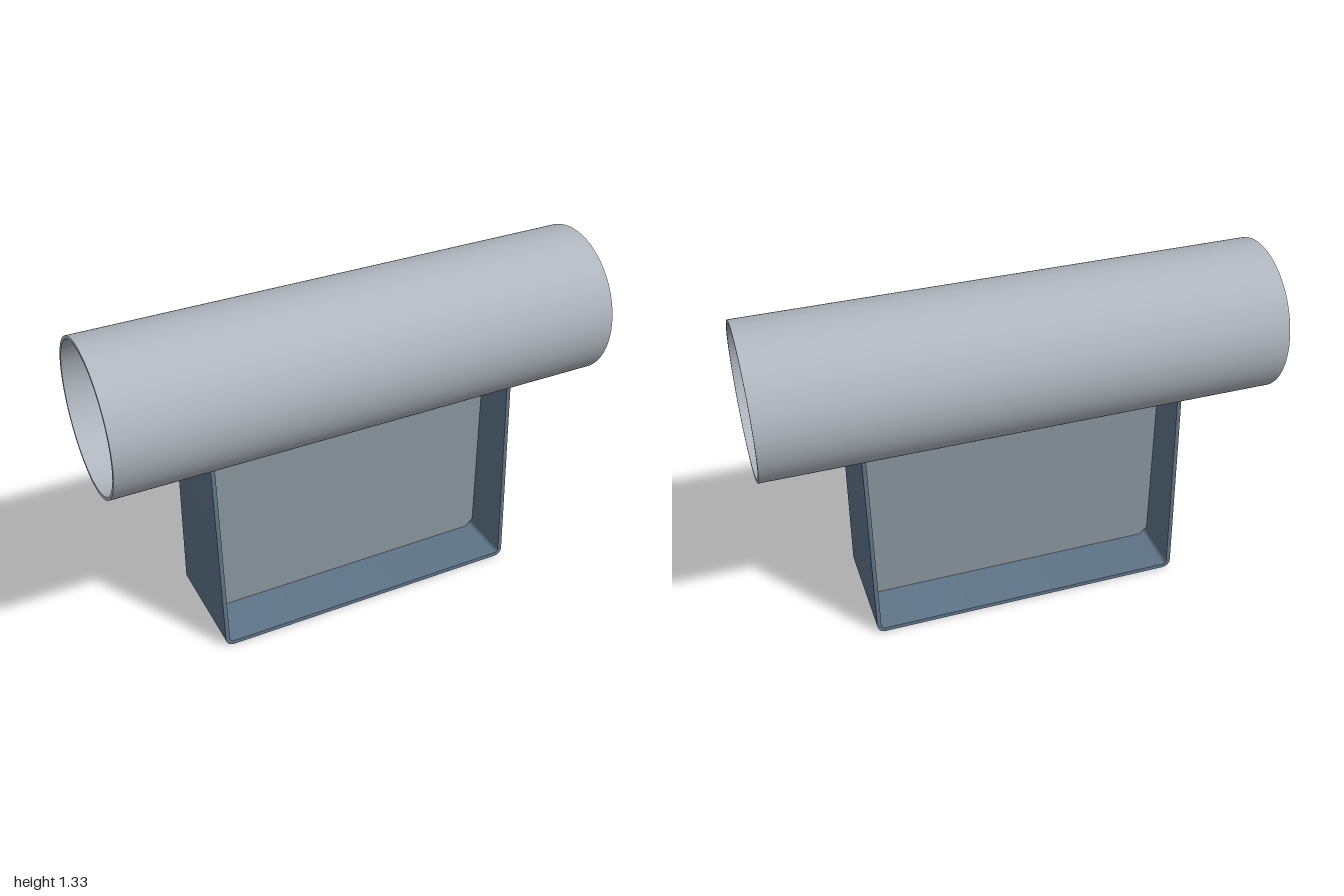
import * as THREE from 'three';
import { toCreasedNormals } from 'three/addons/utils/BufferGeometryUtils.js';

const PIPE_Y = 1.04, PIPE_R = 0.293, PIPE_INNER = 0.28;
const HALF_W = 0.628, WALL = 0.016, BEND = 0.032;

// Height of the pipe's underside at a given z
const saddle = (z) => PIPE_Y - Math.sqrt(PIPE_R * PIPE_R - z * z);
// Half depth of the bracket, narrowing upwards
const halfDepth = (y) => 0.22 - 0.043 * y;

function part(name, geometry, color) {
  const mesh = new THREE.Mesh(
    toCreasedNormals(geometry, Math.PI / 6),
    new THREE.MeshStandardMaterial({ color })
  );
  mesh.name = name;
  return mesh;
}

// Hollow tube lying along x
function pipeGeometry() {
  const ring = new THREE.Shape().absarc(0, 0, PIPE_R, 0, Math.PI * 2, false);
  ring.holes.push(new THREE.Path().absarc(0, 0, PIPE_INNER, 0, Math.PI * 2, true));
  const g = new THREE.ExtrudeGeometry(ring, { depth: 2, bevelEnabled: false, curveSegments: 96 });
  return g.translate(0, 0, -1).rotateY(Math.PI / 2).translate(0, PIPE_Y, 0);
}

// Bent U strip, tapered in depth, with its upper ends coped to the pipe
function bracketGeometry() {
  const w = HALF_W, i = HALF_W - WALL, c = HALF_W - BEND, r = BEND - WALL, top = 0.8;
  const u = new THREE.Shape();
  u.moveTo(-w, top);
  u.lineTo(-w, BEND);
  u.absarc(-c, BEND, BEND, Math.PI, Math.PI * 1.5, false);
  u.lineTo(c, 0);
  u.absarc(c, BEND, BEND, Math.PI * 1.5, Math.PI * 2, false);
  u.lineTo(w, top);
  u.lineTo(i, top);
  u.lineTo(i, BEND);
  u.absarc(c, BEND, r, 0, -Math.PI / 2, true);
  u.lineTo(-c, WALL);
  u.absarc(-c, BEND, r, -Math.PI / 2, -Math.PI, true);
  u.lineTo(-i, top);
  u.closePath();
  const g = new THREE.ExtrudeGeometry(u, { depth: 2, steps: 32, bevelEnabled: false, curveSegments: 8 });
  const p = g.attributes.position;
  for (let k = 0; k < p.count; k++) {
    const t = p.getZ(k) - 1;
    let y = p.getY(k);
    const z = t * halfDepth(y > 0.7 ? 0.813 : y);
    if (y > 0.7) y = saddle(z);
    p.setXYZ(k, p.getX(k), y, z);
  }
  return g;
}

// Central web with clipped lower corners
function webGeometry() {
  const x = HALF_W - WALL, clip = 0.03, top = PIPE_Y - PIPE_R + 0.002;
  const s = new THREE.Shape([
    [-x, top], [-x, WALL + clip], [-x + clip, WALL],
    [x - clip, WALL], [x, WALL + clip], [x, top],
  ].map(([a, b]) => new THREE.Vector2(a, b)));
  const g = new THREE.ExtrudeGeometry(s, { depth: WALL, bevelEnabled: false });
  return g.translate(0, 0, -WALL / 2);
}

export function createModel() {
  const group = new THREE.Group();
  group.name = 'pipeSupport';
  group.add(
    part('pipe', pipeGeometry(), 0xb0b7bf),
    part('bracket', bracketGeometry(), 0x5f7588),
    part('web', webGeometry(), 0x8a979f)
  );
  return group;
}
